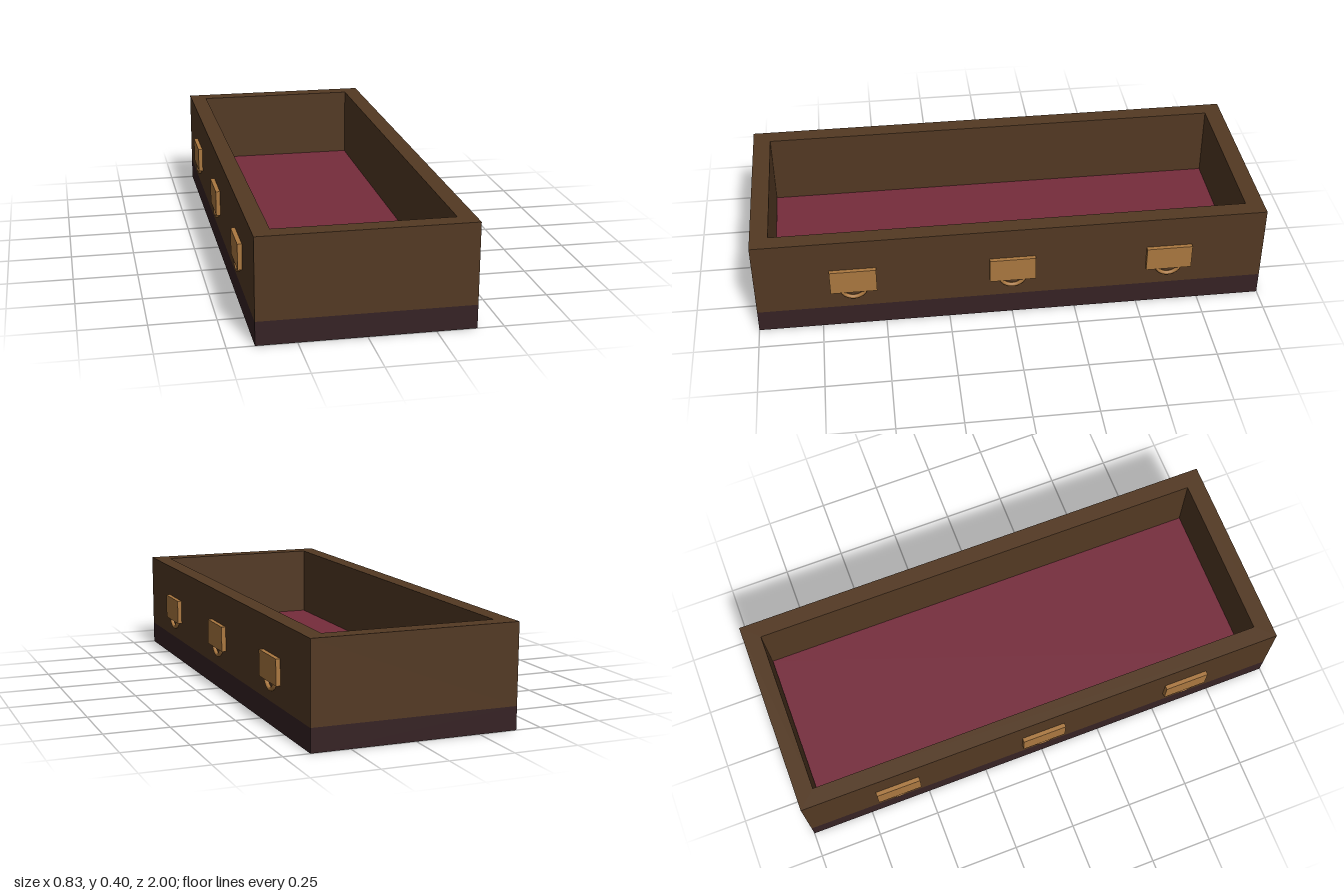
import * as THREE from 'three';

const mat = (name, color) => {
  const m = new THREE.MeshStandardMaterial({ color });
  m.name = name;
  return m;
};

export function createModel() {
  const wood = mat('brown wood', 0x533923);
  const dark = mat('dark base', 0x362224);
  const lining = mat('crimson lining', 0x762c3c);
  const brass = mat('brass', 0xab7840);

  const model = new THREE.Group();
  model.name = 'openChest';
  const add = (parent, name, geometry, material, x = 0, y = 0, z = 0) => {
    const mesh = new THREE.Mesh(geometry, material);
    mesh.name = name;
    mesh.position.set(x, y, z);
    parent.add(mesh);
    return mesh;
  };

  // Base slab
  add(model, 'base', new THREE.BoxGeometry(0.8, 0.09, 2), dark, 0, 0.045);

  // Wall frame: a rectangle with a rectangular hole, extruded upward
  const frame = new THREE.Shape([[-0.4, -1], [0.4, -1], [0.4, 1], [-0.4, 1]]
    .map(([x, y]) => new THREE.Vector2(x, y)));
  frame.holes.push(new THREE.Path([[-0.333, -0.93], [-0.333, 0.93], [0.333, 0.93], [0.333, -0.93]]
    .map(([x, y]) => new THREE.Vector2(x, y))));
  const walls = new THREE.ExtrudeGeometry(frame, { depth: 0.31, bevelEnabled: false });
  walls.rotateX(-Math.PI / 2);
  add(model, 'walls', walls, wood, 0, 0.09);

  // Lining on the floor
  add(model, 'floorLining', new THREE.BoxGeometry(0.664, 0.02, 1.858), lining, 0, 0.1);

  // Three handles on each long side: mounting plate with a half ring below
  const plate = new THREE.BoxGeometry(0.017, 0.1, 0.18);
  const ring = new THREE.TorusGeometry(0.05, 0.008, 8, 16, Math.PI);
  ring.rotateZ(Math.PI);
  ring.rotateY(Math.PI / 2);
  for (const side of [-1, 1]) {
    for (const z of [-0.62, 0, 0.62]) {
      const handle = new THREE.Group();
      handle.name = side > 0 ? 'leftHandle' : 'rightHandle';
      handle.position.set(side * 0.4, 0, z);
      add(handle, 'handlePlate', plate, brass, side * 0.0085, 0.22);
      add(handle, 'handleRing', ring, brass, side * 0.006, 0.19);
      model.add(handle);
    }
  }
  return model;
}
